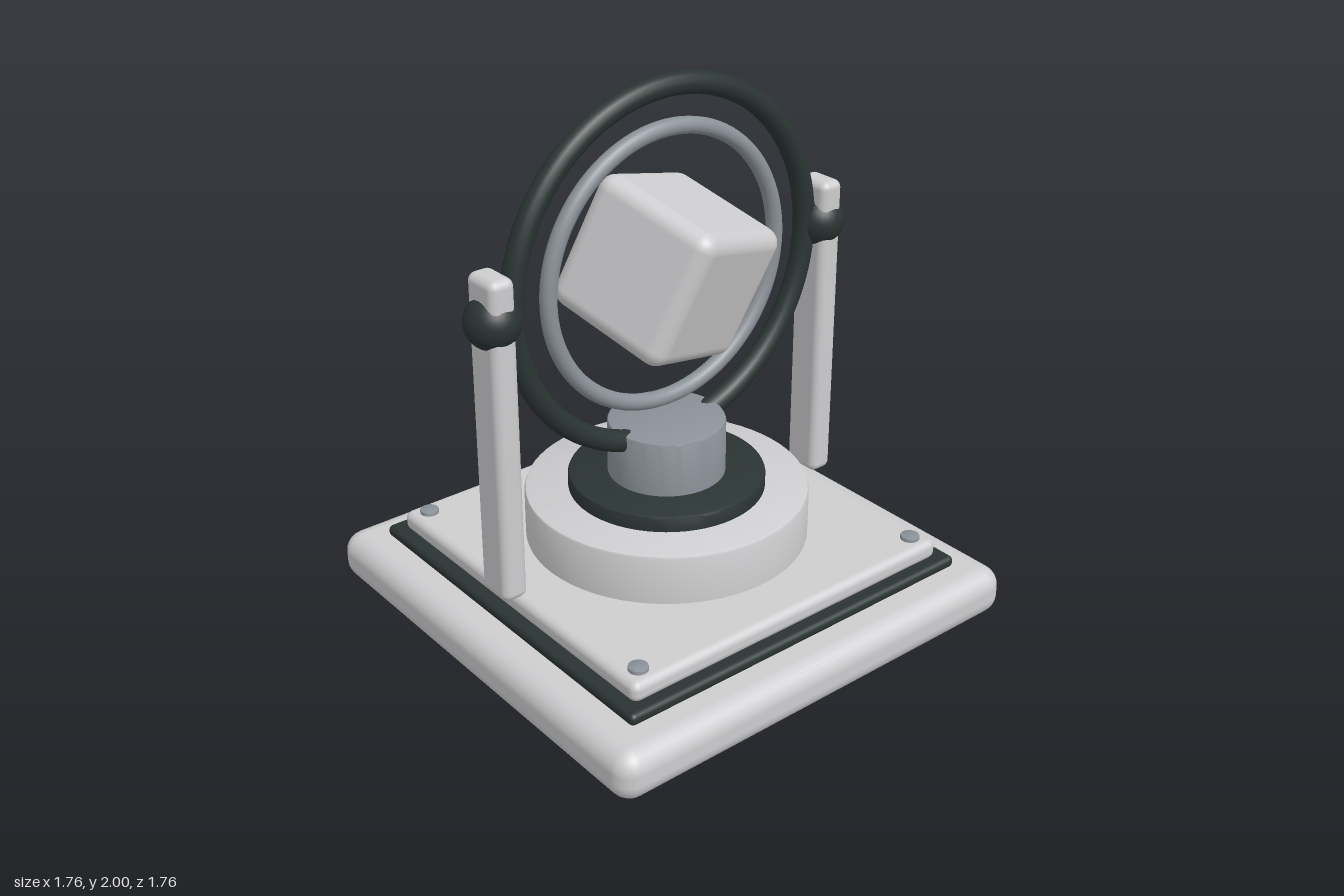
import * as THREE from 'three';
import { toCreasedNormals } from 'three/addons/utils/BufferGeometryUtils.js';
import { RoundedBoxGeometry } from 'three/addons/geometries/RoundedBoxGeometry.js';

function material(name, color) {
  const m = new THREE.MeshStandardMaterial({ color });
  m.name = name;
  return m;
}

export function createModel() {
  const shell = material('light grey shell', 0xcdcdcf);
  const dark = material('dark trim', 0x2a3433);
  const steel = material('steel grey', 0x8a9198);
  const model = new THREE.Group();
  model.name = 'gyroscopeStand';

  const add = (name, geometry, mat, x = 0, y = 0, z = 0) => {
    const mesh = new THREE.Mesh(geometry, mat);
    mesh.name = name;
    mesh.position.set(x, y, z);
    model.add(mesh);
    return mesh;
  };

  // rounded slab standing between two heights
  const slab = (name, w, d, y0, y1, radius, mat, x = 0) =>
    add(name, new RoundedBoxGeometry(w, y1 - y0, d, 3, radius), mat, x, (y0 + y1) / 2, 0);

  // closed disc with a small bevel on its top rim
  const disc = (name, r, y0, y1, bevel, mat, x = 0, z = 0, sides = 64) => {
    const h = y1 - y0;
    const profile = [[0, 0], [r, 0], [r, h - bevel], [r - bevel * 0.3, h - bevel * 0.3], [r - bevel, h], [0, h]]
      .map(([px, py]) => new THREE.Vector2(px, py));
    return add(name, toCreasedNormals(new THREE.LatheGeometry(profile, sides), 0.6), mat, x, y0, z);
  };

  // stepped square base
  slab('base', 1.76, 1.76, 0, 0.187, 0.075, shell);
  slab('baseTrim', 1.49, 1.49, 0.18, 0.225, 0.02, dark);
  slab('topPlate', 1.395, 1.395, 0.215, 0.292, 0.03, shell);

  // corner screws
  for (const x of [-0.627, 0.627])
    for (const z of [-0.627, 0.627]) disc('screw', 0.035, 0.28, 0.306, 0.004, steel, x, z, 24);

  // round pedestal
  disc('drum', 0.515, 0.285, 0.48, 0.012, shell);
  disc('collar', 0.357, 0.475, 0.537, 0.012, dark);
  disc('hub', 0.213, 0.53, 0.743, 0.012, steel);

  // posts with pivot balls
  for (const side of [-1, 1]) {
    const label = side > 0 ? 'left' : 'right';
    slab(label + 'Post', 0.096, 0.152, 0.3, 1.483, 0.03, shell, side * 0.713);
    add(label + 'Pivot', new THREE.SphereGeometry(0.096, 32, 20), dark, side * 0.713, 1.32, 0);
  }

  // upright rings
  add('outerRing', new THREE.TorusGeometry(0.64, 0.04, 16, 96), dark, 0, 1.32, 0);
  add('innerRing', new THREE.TorusGeometry(0.495, 0.03, 16, 96), steel, 0, 1.32, 0);

  // tilted cube in the middle
  const cube = add('cube', new RoundedBoxGeometry(0.5, 0.5, 0.5, 4, 0.06), shell, 0, 1.32, 0);
  cube.rotation.set(0.3, 0.2, -0.35);

  return model;
}
